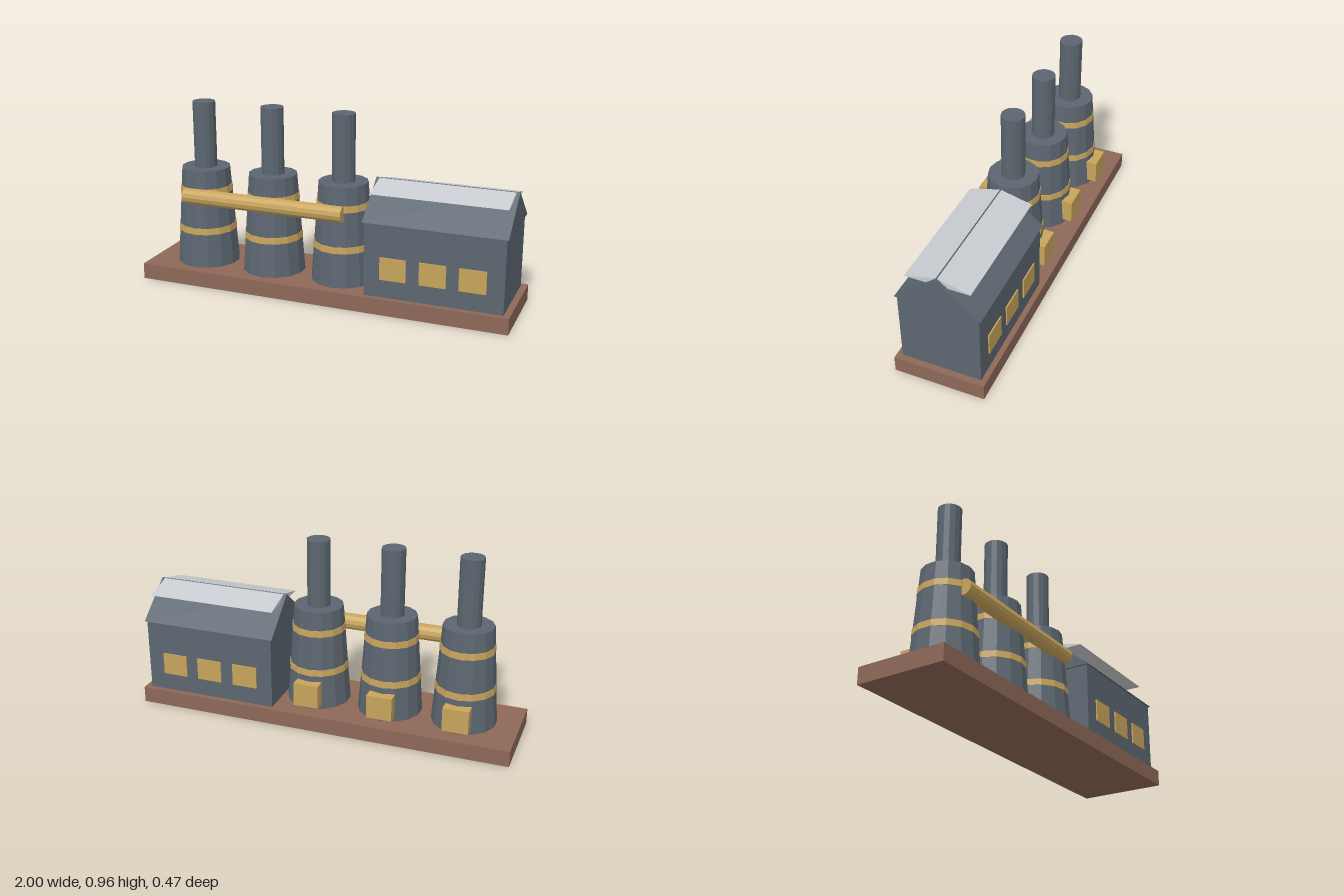
import * as THREE from 'three';

const material = (name, color) => {
  const m = new THREE.MeshStandardMaterial({ color, flatShading: true });
  m.name = name;
  return m;
};

export function createModel() {
  const slate = material('slate', 0x5c6670);
  const brass = material('brass', 0xc8a45c);
  const brick = material('brick', 0x8e6858);
  const pale = material('paleGrey', 0xc8ccd0);

  const model = new THREE.Group();
  model.name = 'furnaceWorks';

  const add = (parent, name, geometry, mat, x = 0, y = 0, z = 0) => {
    const mesh = new THREE.Mesh(geometry, mat);
    mesh.name = name;
    mesh.position.set(x, y, z);
    parent.add(mesh);
    return mesh;
  };
  const box = (w, h, d) => new THREE.BoxGeometry(w, h, d);

  // Gable prism with its ridge along x, centred on x
  const gable = (length, halfDepth, height) => {
    const shape = new THREE.Shape();
    shape.moveTo(-halfDepth, 0);
    shape.lineTo(halfDepth, 0);
    shape.lineTo(0, height);
    shape.closePath();
    const g = new THREE.ExtrudeGeometry(shape, { depth: length, bevelEnabled: false });
    return g.translate(0, 0, -length / 2).rotateY(Math.PI / 2);
  };

  // Base slab
  const baseTop = 0.085;
  add(model, 'base', box(2, baseTop, 0.468), brick, 0, baseTop / 2, 0);

  // Three tapered furnaces with chimney, bands and rear hatch
  const sides = 14, bottomR = 0.168, topR = 0.129, bodyH = 0.525;
  const radiusAt = (y) => bottomR + (topR - bottomR) * (y - baseTop) / bodyH;
  [-0.713, -0.319, 0.076].forEach((x) => {
    const furnace = new THREE.Group();
    furnace.name = 'furnace';
    furnace.position.set(x, 0, 0.0145);
    model.add(furnace);
    add(furnace, 'furnaceBody', new THREE.CylinderGeometry(topR, bottomR, bodyH, sides), slate, 0, baseTop + bodyH / 2);
    add(furnace, 'chimney', new THREE.CylinderGeometry(0.0605, 0.0605, 0.36, sides), slate, 0, 0.782);
    for (const y of [0.283, 0.496]) {
      const h = 0.034, proud = 0.003;
      add(furnace, 'band', new THREE.CylinderGeometry(
        radiusAt(y + h / 2) + proud, radiusAt(y - h / 2) + proud, h, sides), brass, 0, y);
    }
    add(furnace, 'rearHatch', box(0.134, 0.125, 0.08), brass, 0, 0.172, -0.1615);
  });

  // Pipe joining the furnaces
  const pipe = new THREE.CylinderGeometry(0.042, 0.042, 0.895, 12).rotateZ(Math.PI / 2);
  add(model, 'pipe', pipe, brass, -0.322, 0.475, 0.153);

  // Hall with gabled roof and shallow ridge cap
  const hall = new THREE.Group();
  hall.name = 'hall';
  hall.position.x = 0.612;
  model.add(hall);
  add(hall, 'walls', box(0.71, 0.387, 0.412), slate, 0, 0.2785, 0);
  add(hall, 'roof', gable(0.728, 0.217, 0.175), slate, 0, 0.47, 0);
  add(hall, 'ridgeCap', gable(0.692, 0.165, 0.042), pale, 0, 0.601, 0);

  // Windows on both long walls
  for (const side of [1, -1]) {
    for (const x of [-0.203, 0, 0.2]) {
      add(hall, 'window', box(0.136, 0.117, 0.009), brass, x, 0.239, side * 0.2085);
    }
  }

  return model;
}
